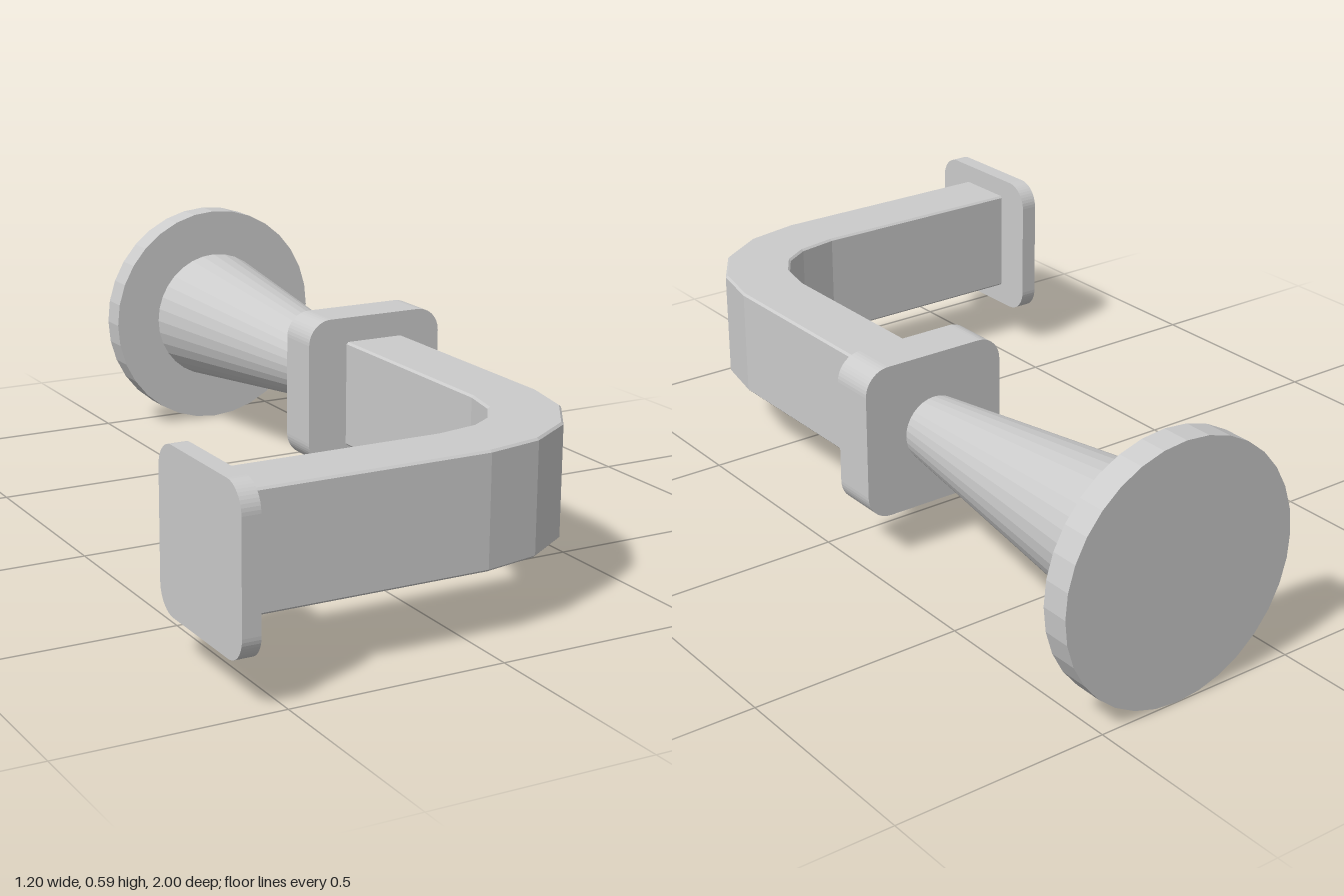
import * as THREE from 'three';

const material = new THREE.MeshStandardMaterial({ color: 0xcccccc, flatShading: true });

function part(name, geometry, x, y, z) {
  const mesh = new THREE.Mesh(geometry, material);
  mesh.name = name;
  mesh.position.set(x, y, z);
  return mesh;
}

// Square plate with rounded corners, centred, thickness along z
function roundedPlate(size, radius, depth) {
  const h = size / 2, c = h - radius;
  const shape = new THREE.Shape();
  shape.absarc(c, c, radius, 0, Math.PI / 2);
  shape.absarc(-c, c, radius, Math.PI / 2, Math.PI);
  shape.absarc(-c, -c, radius, Math.PI, Math.PI * 1.5);
  shape.absarc(c, -c, radius, Math.PI * 1.5, Math.PI * 2);
  const geometry = new THREE.ExtrudeGeometry(shape, { depth, bevelEnabled: false, curveSegments: 6 });
  return geometry.translate(0, 0, -depth / 2);
}

// Round bar with its axis along z; first radius is at the front
function roundAlongZ(frontRadius, backRadius, length) {
  return new THREE.CylinderGeometry(frontRadius, backRadius, length, 32).rotateX(Math.PI / 2);
}

export function createModel() {
  const group = new THREE.Group();
  group.name = 'bracket';

  // Round base and tapered stem
  group.add(part('baseDisc', roundAlongZ(0.296, 0.296, 0.067), 0.303, 0.299, -0.9665));
  group.add(part('taperedStem', roundAlongZ(0.077, 0.173, 0.79), 0.303, 0.3, -0.54));

  // Square collar between stem and arm
  group.add(part('collar', roundedPlate(0.367, 0.06, 0.112), 0.303, 0.3, -0.1));

  // Bent flat arm: plan outline (x, z), extruded upward with a tiny edge bevel
  const outline = [
    [-0.57, 0.89], [0.03, 0.89], [0.165, 0.862], [0.28, 0.787], [0.355, 0.672], [0.382, 0.54], [0.382, -0.06],
    [0.224, -0.06], [0.224, 0.515], [0.204, 0.61], [0.163, 0.672], [0.1, 0.712], [0, 0.731], [-0.57, 0.731],
  ];
  const armShape = new THREE.Shape(outline.map(([x, z]) => new THREE.Vector2(x, -z)));
  const bevel = 0.005;
  const armGeometry = new THREE.ExtrudeGeometry(armShape, {
    depth: 0.263 - 2 * bevel, bevelThickness: bevel, bevelSize: bevel, bevelOffset: -bevel, bevelSegments: 1,
  }).rotateX(-Math.PI / 2);
  group.add(part('arm', armGeometry, 0, 0.159 + bevel, 0));

  // End plate at the tip of the arm
  group.add(part('endPlate', roundedPlate(0.365, 0.06, 0.042).rotateY(Math.PI / 2), -0.579, 0.288, 0.8175));

  return group;
}
